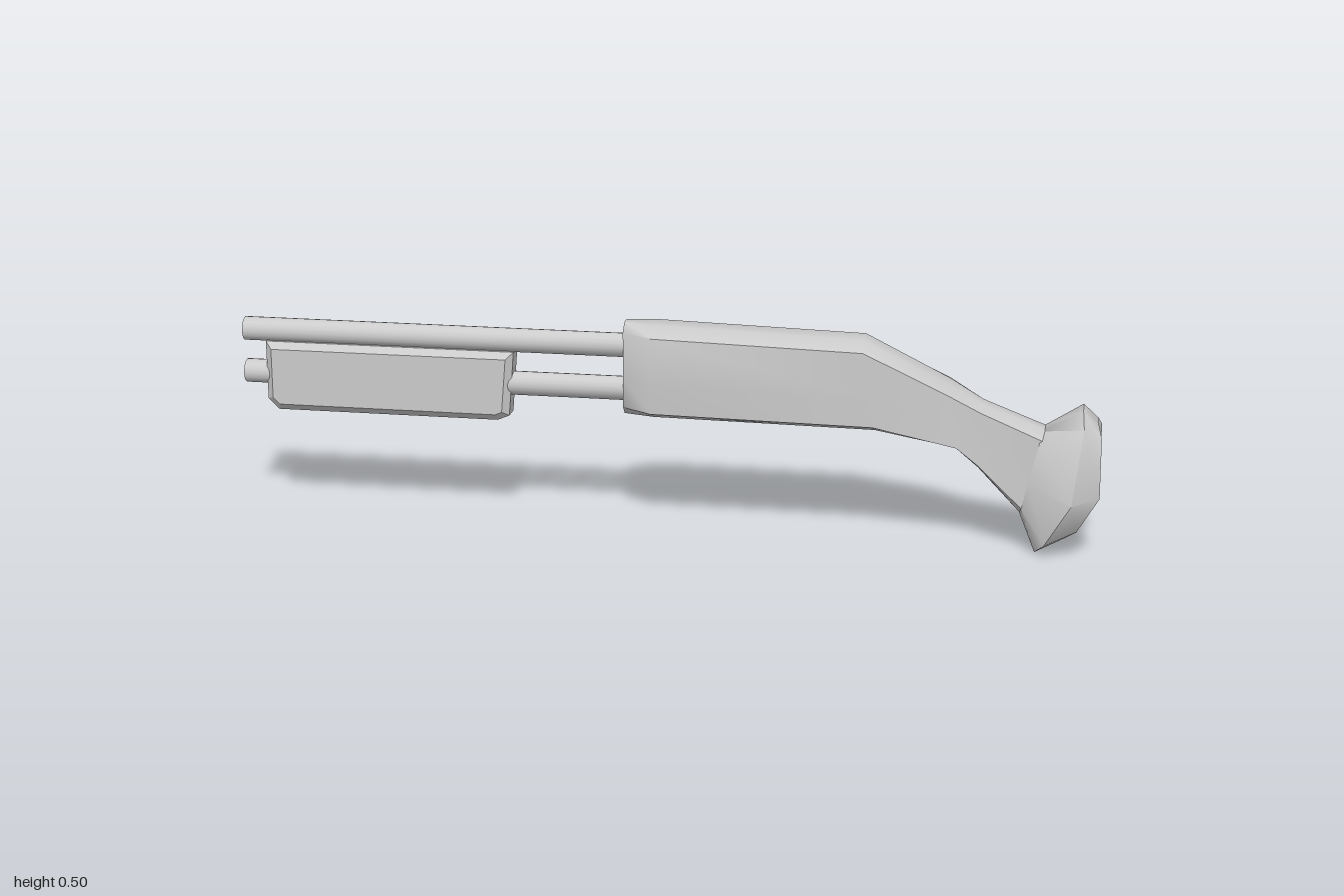
import * as THREE from 'three';
import { toCreasedNormals } from 'three/addons/utils/BufferGeometryUtils.js';

const material = new THREE.MeshStandardMaterial({ color: 0xcccccc });

function addPart(group, name, geometry, crease) {
  const mesh = new THREE.Mesh(toCreasedNormals(geometry, crease), material);
  mesh.name = name;
  group.add(mesh);
  return mesh;
}

// Capped tube lofted along x through chamfered ten-sided rings.
// Each section: [xTop, yTop, xBottom, yBottom, halfWidth, middleHalfWidth, bulge in x]
function loft(sections) {
  const positions = [], index = [];
  for (const [xt, yt, xb, yb, w, wm = w, bulge = 0] of sections) {
    const side = [[0.4 * w, 0, 0], [w, 0.09, 0.3], [wm, 0.6, 1], [w, 0.91, 0.3], [0.4 * w, 1, 0]];
    const ring = [...side, ...side.map(([z, t, b]) => [-z, t, b]).reverse()];
    for (const [z, t, b] of ring) positions.push(xt + (xb - xt) * t + bulge * b, yt + (yb - yt) * t, z);
  }
  const n = 10, last = (sections.length - 1) * n;
  for (let i = 0; i < sections.length - 1; i++) {
    for (let j = 0; j < n; j++) {
      const k = (j + 1) % n;
      const a = i * n + j, b = i * n + k, c = b + n, d = a + n;
      index.push(a, b, c, a, c, d);
    }
  }
  for (let j = 1; j < n - 1; j++) {
    index.push(0, j + 1, j, last, last + j, last + j + 1);
  }
  const geometry = new THREE.BufferGeometry();
  geometry.setAttribute('position', new THREE.Float32BufferAttribute(positions, 3));
  geometry.setIndex(index);
  return geometry;
}

// Round tube with a recessed bore, pointing along -x
function boredTube(radius, length) {
  const bore = radius * 0.75;
  const profile = [[radius, 0], [radius, length], [bore, length], [bore, length - 0.06], [0, length - 0.06]]
    .map(([r, y]) => new THREE.Vector2(r, y));
  return new THREE.LatheGeometry(profile, 16).rotateZ(Math.PI / 2);
}

export function createModel() {
  const group = new THREE.Group();
  group.name = 'pumpActionProp';

  // Two parallel tubes running into the body
  for (const [name, y] of [['barrel', 0.439], ['magazineTube', 0.336]]) {
    addPart(group, name, boredTube(0.028, 0.95), 0.8).position.set(-0.05, y, 0);
  }

  // Sliding fore-end with bevelled sides
  const outline = [[-0.945, 0.415], [-0.945, 0.275], [-0.92, 0.25], [-0.39, 0.25], [-0.362, 0.262], [-0.35, 0.415]];
  const shape = new THREE.Shape(outline.map(([x, y]) => new THREE.Vector2(x, y)));
  const pump = new THREE.ExtrudeGeometry(shape, {
    depth: 0.042, bevelEnabled: true, bevelSegments: 1,
    bevelThickness: 0.014, bevelSize: 0.016, bevelOffset: -0.016,
  });
  addPart(group, 'pumpForeEnd', pump.translate(0, 0, -0.021), 0.3);

  // Receiver narrowing into the neck of the grip
  addPart(group, 'receiverAndNeck', loft([
    [-0.09, 0.497, -0.09, 0.28, 0.035],
    [-0.02, 0.496, -0.02, 0.279, 0.075],
    [0.46, 0.484, 0.49, 0.274, 0.075],
    [0.65, 0.39, 0.68, 0.24, 0.073],
    [0.73, 0.345, 0.725, 0.195, 0.052],
    [0.88, 0.288, 0.83, 0.085, 0.05],
  ]), 0.9);

  // Flared knob at the end of the grip
  addPart(group, 'gripKnob', loft([
    [0.865, 0.287, 0.822, 0.092, 0.05],
    [0.955, 0.342, 0.86, 0.002, 0.075, 0.099, 0.04],
    [0.99, 0.312, 0.935, 0.042, 0.06, 0.068, 0.043],
  ]), 0.9);

  return group;
}
